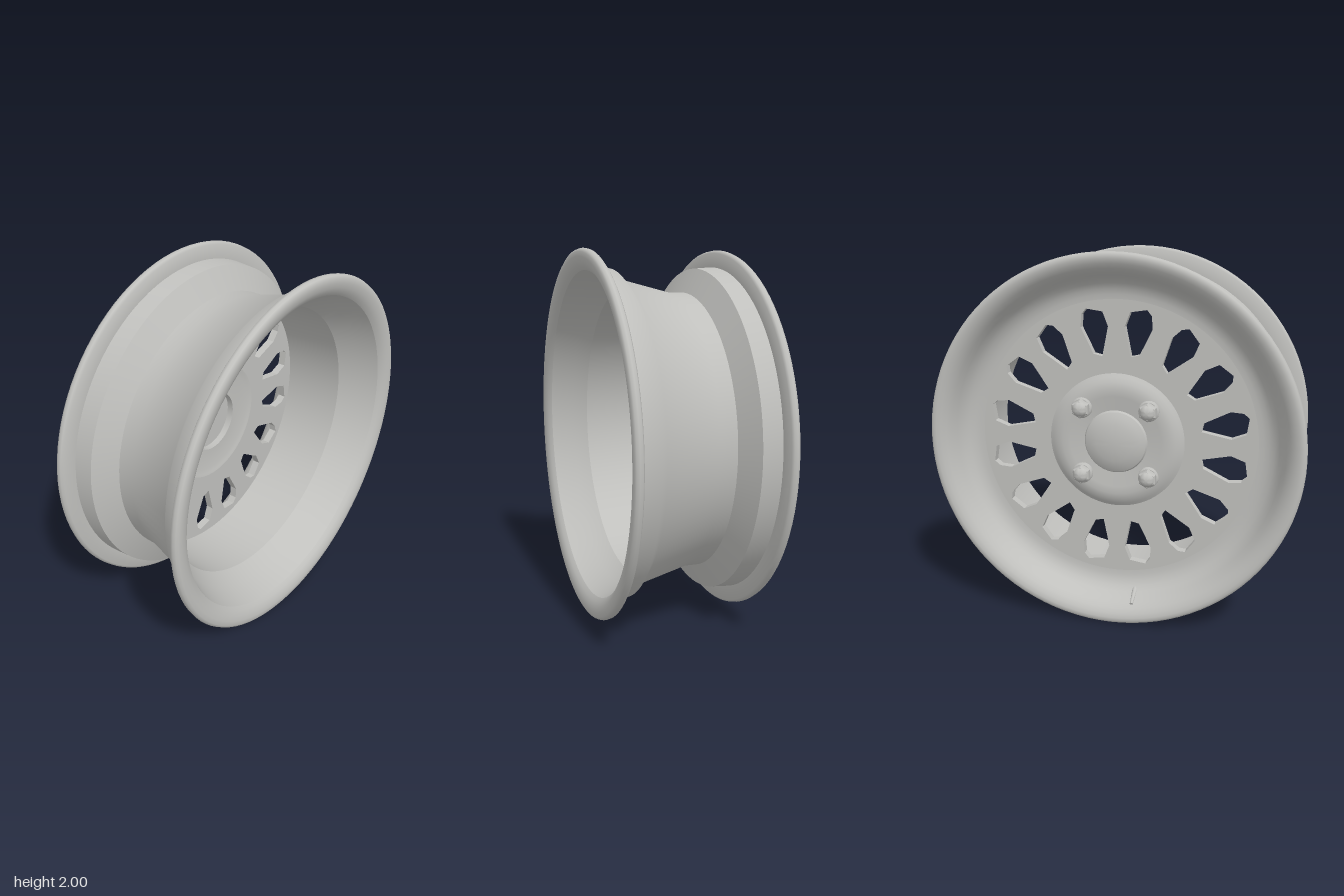
import * as THREE from 'three';
import { toCreasedNormals } from 'three/addons/utils/BufferGeometryUtils.js';

const metal = new THREE.MeshStandardMaterial({ color: 0xc0c0bd, side: THREE.DoubleSide });
metal.name = 'grey metal';

export function createModel() {
  const wheel = new THREE.Group();
  wheel.name = 'wheelRim';

  const add = (name, geometry, parent = wheel) => {
    const mesh = new THREE.Mesh(geometry, metal);
    mesh.name = name;
    parent.add(mesh);
    return mesh;
  };

  // Turns a list of [radius, z] around the wheel axis; corners above the crease angle stay sharp
  const turn = (points, segments = 96, crease = 0.42) => {
    const g = new THREE.LatheGeometry(points.map(([r, z]) => new THREE.Vector2(r, z)), segments);
    g.rotateX(Math.PI / 2);
    return toCreasedNormals(g, crease);
  };

  // Barrel: outer-face dish, rear lip, tyre bed and front lip
  add('barrel', turn([
    [0.755, -0.235], [0.78, -0.237], [0.808, -0.244], [0.838, -0.26], [0.862, -0.285],
    [0.88, -0.318], [0.897, -0.352], [0.918, -0.379], [0.942, -0.396], [0.965, -0.404],
    [0.982, -0.404], [0.994, -0.397], [1.0, -0.383], [0.997, -0.367], [0.985, -0.358],
    [0.908, -0.357], [0.90, -0.255], [0.77, -0.188], [0.77, -0.1], [0.845, 0.2],
    [0.897, 0.243], [0.908, 0.357], [0.985, 0.358], [0.997, 0.367], [1.0, 0.383],
    [0.994, 0.397], [0.982, 0.404], [0.957, 0.404], [0.93, 0.397], [0.905, 0.385], [0.886, 0.367],
  ], 96, 0.9));

  // Inside wall, stepping down in two cones to the face plate
  add('insideWall', turn([
    [0.886, 0.367], [0.83, 0.24], [0.775, 0.16], [0.755, -0.19],
  ], 96, 0.2));

  // Face plate with sixteen skewed windows, alternately mirrored
  const plate = new THREE.Shape().absarc(0, 0, 0.757, 0, Math.PI * 2);
  plate.holes.push(new THREE.Path().absarc(0, 0, 0.34, 0, Math.PI * 2, true));
  const windowCorners = [
    [0.69, -0.062], [0.72, 0.022], [0.695, 0.052], [0.63, 0.07],
    [0.482, 0.03], [0.462, -0.015], [0.61, -0.076],
  ];
  for (let i = 0; i < 16; i++) {
    const angle = ((i + 0.5) * Math.PI) / 8;
    const side = i % 2 ? -1 : 1;
    const s = Math.sin(angle), c = Math.cos(angle);
    plate.holes.push(new THREE.Path(windowCorners.map(([r, t]) =>
      new THREE.Vector2(r * s + side * t * c, r * c - side * t * s))));
  }
  const plateGeometry = new THREE.ExtrudeGeometry(plate, {
    depth: 0.045, bevelEnabled: false, curveSegments: 96,
  });
  plateGeometry.translate(0, 0, -0.235);
  add('facePlate', toCreasedNormals(plateGeometry, 0.42));

  // Hub, raised on the outer face, with a round recess on the inside
  add('hub', turn([
    [0, -0.25], [0.17, -0.253], [0.25, -0.268], [0.29, -0.27], [0.325, -0.262],
    [0.35, -0.247], [0.37, -0.234], [0.345, -0.189], [0.33, -0.192], [0.305, -0.199],
    [0.175, -0.199], [0.175, -0.237], [0, -0.237],
  ]));

  // Domed centre cap
  add('centreCap', turn([
    [0, -0.3], [0.05, -0.298], [0.10, -0.291], [0.14, -0.279], [0.165, -0.266], [0.175, -0.248],
  ], 64));

  // Four wheel bolts: washer, hexagon and rounded head
  for (let i = 0; i < 4; i++) {
    const angle = Math.PI / 4 + (i * Math.PI) / 2;
    const bolt = new THREE.Group();
    bolt.name = 'wheelBolt';
    bolt.position.set(0.257 * Math.cos(angle), 0.257 * Math.sin(angle), 0.018);
    add('boltWasher', turn([[0, -0.3], [0.048, -0.3], [0.056, -0.293], [0.056, -0.27]], 24), bolt);
    add('boltHexagon', turn([[0, -0.335], [0.042, -0.335], [0.05, -0.328], [0.05, -0.29]], 6), bolt);
    add('boltHead', turn([
      [0, -0.358], [0.015, -0.356], [0.029, -0.349], [0.038, -0.338], [0.041, -0.325],
    ], 24, 0.6), bolt);
    wheel.add(bolt);
  }

  // Valve stem, slanting through the rim from the tyre bed to the dish
  const inner = new THREE.Vector3(-0.11, -0.825, -0.205);
  const outer = new THREE.Vector3(-0.11, -0.89, -0.362);
  const along = outer.clone().sub(inner);
  const valve = add('valveStem', new THREE.CylinderGeometry(0.009, 0.018, along.length(), 12));
  valve.position.copy(inner).add(outer).multiplyScalar(0.5);
  valve.quaternion.setFromUnitVectors(new THREE.Vector3(0, 1, 0), along.normalize());

  // Stand the wheel on the ground
  wheel.children.forEach((part) => { part.position.y += 1; });
  return wheel;
}
